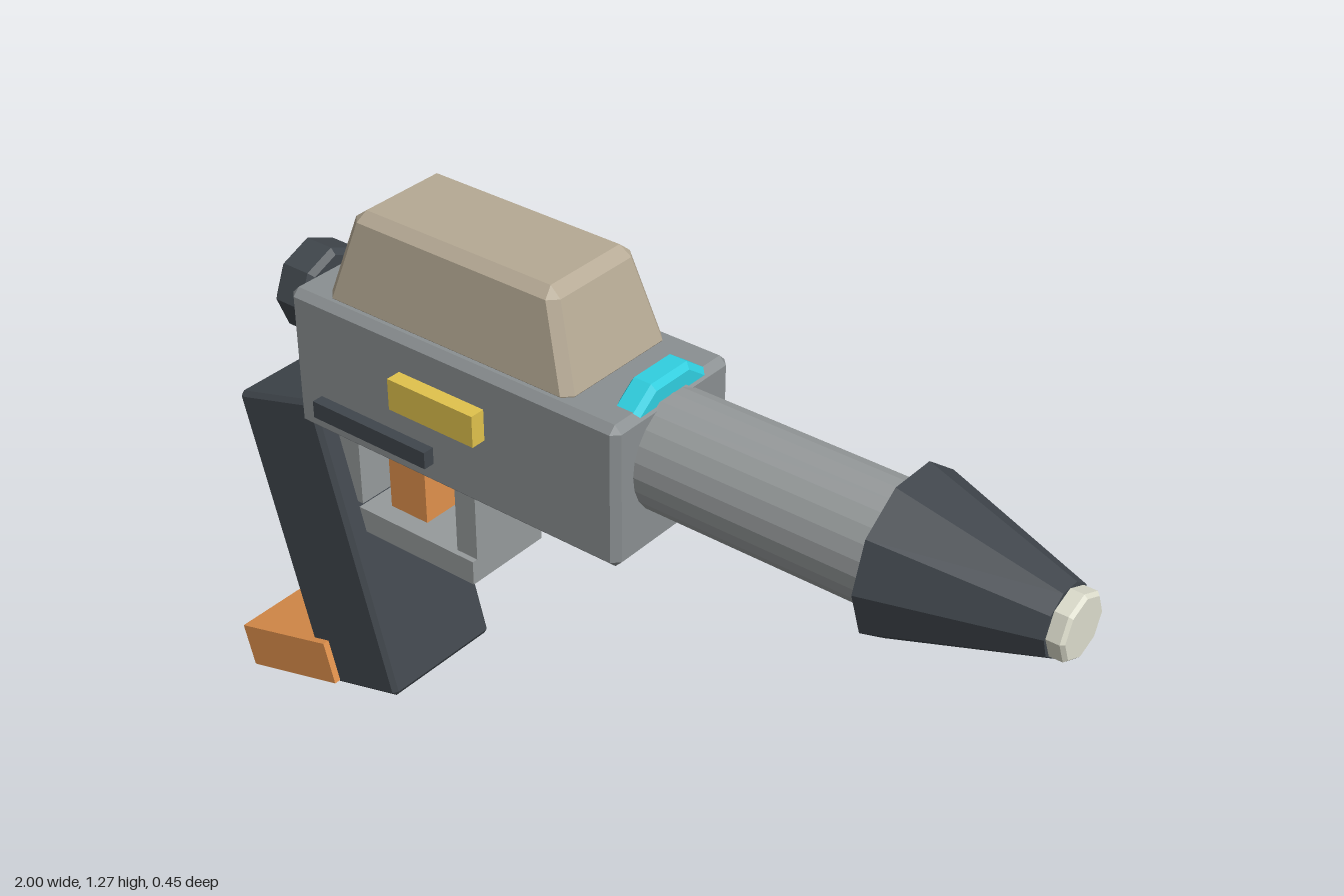
import * as THREE from 'three';
import { ConvexGeometry } from 'three/addons/geometries/ConvexGeometry.js';

const COLORS = {
  body: 0x8a8f91, steel: 0x969a9b, dark: 0x40464c, tan: 0xb5a994,
  orange: 0xe0914c, teal: 0x30cfe0, yellow: 0xe0c24c, ivory: 0xdcdccc,
};

const materials = {};
for (const key in COLORS) {
  materials[key] = new THREE.MeshStandardMaterial({ color: COLORS[key], flatShading: true });
}

// Box with chamfered edges; its top may be narrower by topX and topZ.
function chamferBox(w, h, d, c, topX = 1, topZ = 1) {
  const points = [];
  for (const sx of [-1, 1]) for (const sy of [-1, 1]) for (const sz of [-1, 1]) {
    for (const [ix, iy, iz] of [[0, c, c], [c, 0, c], [c, c, 0]]) {
      const y = h / 2 - iy;
      const t = (sy * y + h / 2) / h;
      points.push(new THREE.Vector3(
        sx * ((w / 2) * (1 + (topX - 1) * t) - ix),
        sy * y,
        sz * ((d / 2) * (1 + (topZ - 1) * t) - iz)
      ));
    }
  }
  return new ConvexGeometry(points);
}

// Solid of revolution about the x axis; profile is a list of [x, radius].
function turned(profile, sides) {
  const points = profile.map(([x, r]) => new THREE.Vector2(r, x));
  return new THREE.LatheGeometry(points, sides).rotateZ(-Math.PI / 2);
}

export function createModel() {
  const group = new THREE.Group();

  function add(name, geometry, color, x = 0, y = 0, z = 0, tilt = 0) {
    const mesh = new THREE.Mesh(geometry, materials[color]);
    mesh.name = name;
    mesh.position.set(x, y, z);
    mesh.rotation.z = tilt;
    group.add(mesh);
    return mesh;
  }

  // Box given by its limits in x and y, and in z
  function block(name, color, x0, x1, y0, y1, z0, z1) {
    add(name, new THREE.BoxGeometry(x1 - x0, y1 - y0, z1 - z0), color,
      (x0 + x1) / 2, (y0 + y1) / 2, (z0 + z1) / 2);
  }

  // Receiver and the tapered housing on top
  add('receiver', chamferBox(0.85, 0.32, 0.35, 0.016), 'body', -0.32, 0.918);
  const housing = chamferBox(0.645, 0.215, 0.31, 0.02, 0.79, 0.78);
  add('topHousing', housing, 'tan', -0.345, 1.168);

  // Barrel, muzzle and rear knob
  const axis = 0.95;
  add('barrel', turned([[0.08, 0], [0.08, 0.125], [0.65, 0.125], [0.65, 0]], 24), 'steel', 0, axis);
  add('barrelCollar', turned([[0.04, 0.13], [0.04, 0.16], [0.05, 0.174],
    [0.09, 0.174], [0.1, 0.16], [0.1, 0.13]], 10), 'teal', 0, axis);
  add('muzzleCone', turned([[0.635, 0], [0.635, 0.174], [0.965, 0.074], [0.965, 0]], 10), 'dark', 0, axis);
  add('muzzleTip', turned([[0.95, 0], [0.95, 0.069], [0.993, 0.069], [1, 0.062], [1, 0]], 8), 'ivory', 0, axis);
  add('rearKnob', turned([[-0.875, 0], [-0.875, 0.088], [-0.863, 0.101],
    [-0.795, 0.101], [-0.783, 0.088], [-0.783, 0]], 8), 'dark', 0, 0.976);

  // Side panels and rails
  for (const [side, label, color] of [[1, 'left', 'yellow'], [-1, 'right', 'teal']]) {
    add(label + 'Panel', new THREE.BoxGeometry(0.22, 0.07, 0.034), color, -0.32, 0.973, side * 0.207);
    add(label + 'Rail', new THREE.BoxGeometry(0.305, 0.038, 0.026), 'dark', -0.497, 0.85, side * 0.208);
  }

  // Trigger and guard
  block('guardRearPost', 'steel', -0.705, -0.645, 0.56, 0.77, -0.108, 0.108);
  block('guardFrontPost', 'steel', -0.375, -0.32, 0.56, 0.77, -0.108, 0.108);
  block('guardBar', 'steel', -0.69, -0.333, 0.49, 0.547, -0.108, 0.108);
  block('trigger', 'orange', -0.605, -0.503, 0.547, 0.77, -0.062, 0.062);

  // Raked grip with a foot at its heel
  const rake = 0.27;
  add('grip', chamferBox(0.235, 0.715, 0.31, 0.01), 'dark', -0.745, 0.428, 0, rake);
  add('gripFoot', new THREE.BoxGeometry(0.272, 0.102, 0.342), 'orange', -0.857, 0.09, 0, rake);

  return group;
}
